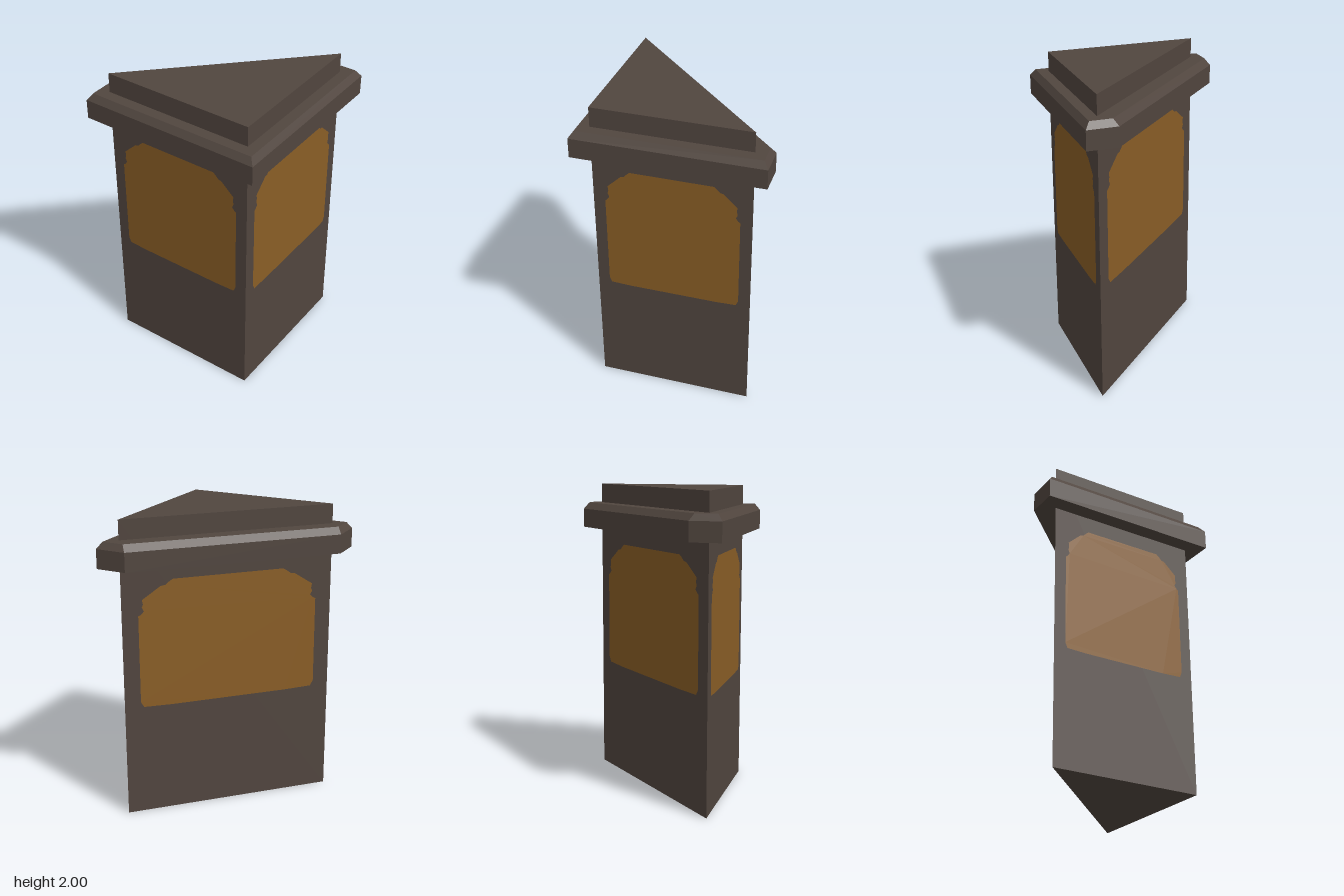
import * as THREE from 'three';
import { ConvexGeometry } from 'three/addons/geometries/ConvexGeometry.js';

const stone = new THREE.MeshStandardMaterial({ color: 0x51463f });
stone.name = 'dark stone';
const amber = new THREE.MeshStandardMaterial({ color: 0x8a5e26 });
amber.name = 'amber panel';

// Convex solid from horizontal rings of [x, z] corners, each at its height
function solid(name, rings) {
  const points = rings.flatMap(([y, ring]) => ring.map(([x, z]) => new THREE.Vector3(x, y, z)));
  const mesh = new THREE.Mesh(new ConvexGeometry(points), stone);
  mesh.name = name;
  return mesh;
}

// Triangular footprint with its two sharp corners cut off
function clippedTriangle(half, cut) {
  return [[half, -half], [half, half], [-half, half], [-half, cut], [cut, -half]];
}

// Half outline of the arched panel, mirrored to make the other half
function panelGeometry() {
  const half = [
    [0.28, 0.75], [0.41, 0.755], [0.425, 0.79], [0.425, 1.375], [0.412, 1.385], [0.398, 1.405],
    [0.408, 1.43], [0.402, 1.45], [0.406, 1.48], [0.32, 1.56], [0.298, 1.565], [0.28, 1.585], [0.262, 1.6],
  ];
  const mirrored = half.map(([x, y]) => [-x, y]).reverse();
  return new THREE.ShapeGeometry(new THREE.Shape([...half, ...mirrored].map(([x, y]) => new THREE.Vector2(x, y))));
}

export function createModel() {
  const model = new THREE.Group();
  model.name = 'cornerPillar';

  // Triangular shaft, running through the collar to the top
  const triangle = [[0.5, -0.5], [0.5, 0.5], [-0.5, 0.5]];
  model.add(solid('shaft', [[0, triangle], [2, triangle]]));

  // Collar with a bevelled upper edge
  const outer = clippedTriangle(0.6, 0.4);
  model.add(solid('collar', [[1.705, outer], [1.83, outer], [1.872, clippedTriangle(0.57, 0.428)]]));

  // One arched panel on each face, stretched on the long diagonal
  const geometry = panelGeometry();
  const faces = [
    ['frontPanel', 0, 0.5, 1],
    ['leftPanel', Math.PI / 2, 0.5, 1],
    ['diagonalPanel', -Math.PI * 0.75, 0, Math.SQRT2],
  ];
  for (const [name, angle, distance, stretch] of faces) {
    const panel = new THREE.Mesh(geometry, amber);
    panel.name = name;
    panel.rotation.y = angle;
    panel.position.set(Math.sin(angle), 0, Math.cos(angle)).multiplyScalar(distance + 0.003);
    panel.scale.x = stretch;
    model.add(panel);
  }
  return model;
}
